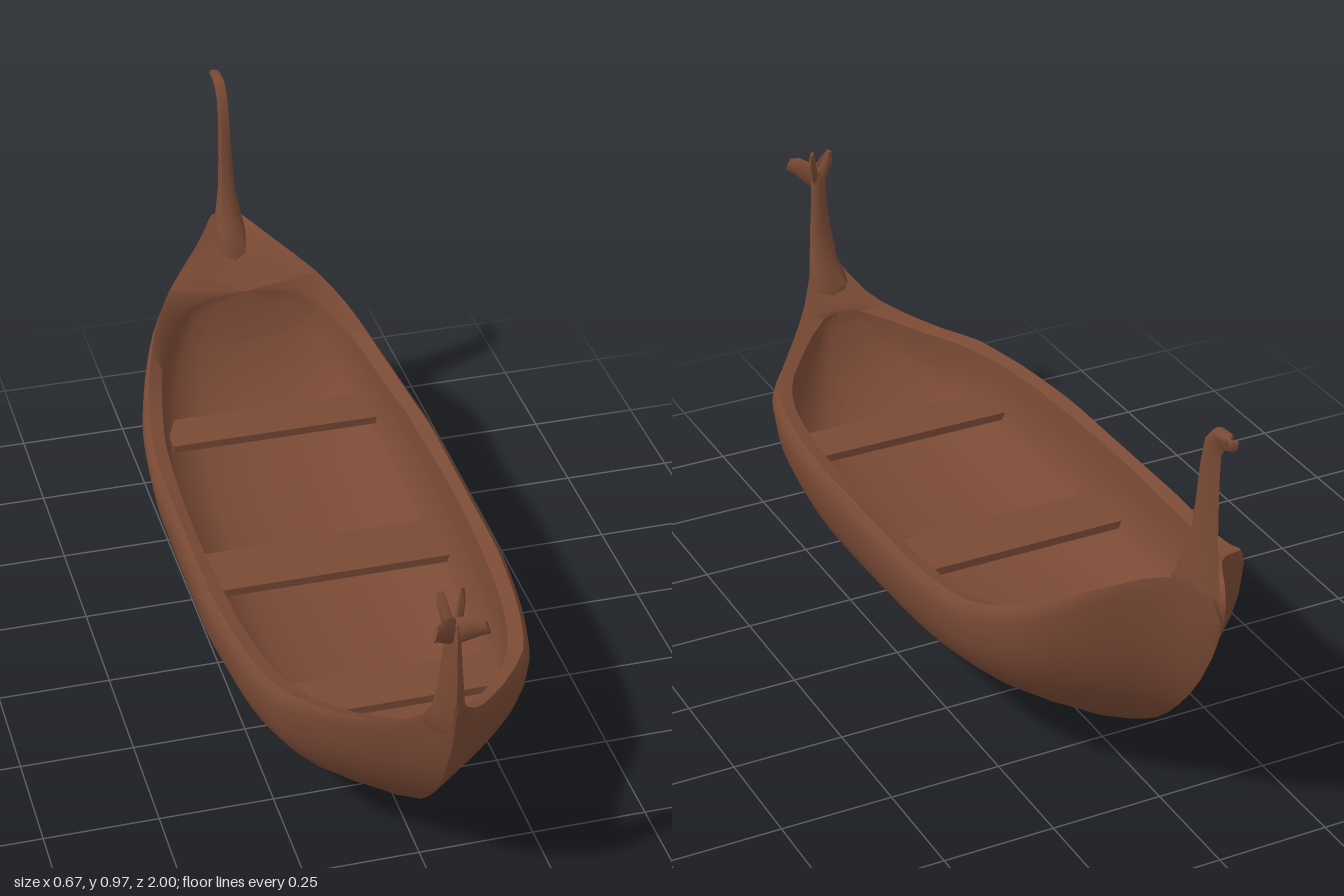
import * as THREE from 'three';
import { toCreasedNormals } from 'three/addons/utils/BufferGeometryUtils.js';

const wood = new THREE.MeshStandardMaterial({ color: 0x7a4a35, side: THREE.DoubleSide });

// Smooth monotone interpolation through [z, value] pairs
function profile(pts) {
  const slope = i => (pts[i + 1][1] - pts[i][1]) / (pts[i + 1][0] - pts[i][0]);
  const tangent = i => {
    if (i === 0) return slope(0);
    if (i === pts.length - 1) return slope(i - 1);
    const a = slope(i - 1), b = slope(i);
    return a * b <= 0 ? 0 : (2 * a * b) / (a + b);
  };
  return z => {
    if (z <= pts[0][0]) return pts[0][1];
    if (z >= pts[pts.length - 1][0]) return pts[pts.length - 1][1];
    const i = pts.findIndex((p, k) => z < pts[k + 1][0]);
    const h = pts[i + 1][0] - pts[i][0], t = (z - pts[i][0]) / h;
    const t2 = t * t, t3 = t2 * t;
    return (2 * t3 - 3 * t2 + 1) * pts[i][1] + (t3 - 2 * t2 + t) * h * tangent(i)
      + (3 * t2 - 2 * t3) * pts[i + 1][1] + (t3 - t2) * h * tangent(i + 1);
  };
}

// Skin a list of closed rings of [x, y, z] points, with fan caps
function loft(name, rings, crease) {
  const n = rings[0].length, pos = rings.flat(2), idx = [];
  for (let r = 0; r < rings.length - 1; r++) {
    for (let i = 0; i < n; i++) {
      const j = (i + 1) % n, a = r * n, b = a + n;
      idx.push(a + i, a + j, b + i, a + j, b + j, b + i);
    }
  }
  const last = (rings.length - 1) * n;
  for (let i = 1; i < n - 1; i++) idx.push(0, i + 1, i, last, last + i, last + i + 1);
  const geo = new THREE.BufferGeometry();
  geo.setAttribute('position', new THREE.Float32BufferAttribute(pos, 3));
  geo.setIndex(idx);
  const mesh = new THREE.Mesh(toCreasedNormals(geo, crease), wood);
  mesh.name = name;
  return mesh;
}

// Post from rows [outer z, outer y, inner z, inner y, half width]; the outer edge is a sharp cutwater
const postShape = [[0, 0], [0.45, 0.25], [0.85, 0.55], [1, 0.8], [0.75, 0.96], [0, 1]];
function post(name, rows) {
  return loft(name, rows.map(([z1, y1, z2, y2, w]) => {
    const half = postShape.map(([x, t]) => [x * w, y1 + (y2 - y1) * t, z1 + (z2 - z1) * t]);
    const ring = [...half, ...half.slice(1, -1).reverse().map(([x, y, z]) => [-x, y, z])];
    return z1 > z2 ? ring : ring.reverse();
  }), 1);
}

// Hull lines along z
const keel = profile([[-0.975, 0.54], [-0.95, 0.47], [-0.86, 0.32], [-0.72, 0.18], [-0.53, 0.08],
  [-0.3, 0.035], [-0.1, 0.01], [0.1, 0], [0.32, 0.01], [0.5, 0.03], [0.65, 0.08], [0.78, 0.17],
  [0.89, 0.3], [0.96, 0.45], [0.975, 0.52]]);
const gunwale = profile([[-0.975, 0.56], [-0.96, 0.6], [-0.9, 0.622], [-0.85, 0.61], [-0.78, 0.57],
  [-0.72, 0.53], [-0.63, 0.475], [-0.53, 0.425], [-0.4, 0.39], [-0.2, 0.38], [0.5, 0.377],
  [0.68, 0.386], [0.8, 0.415], [0.87, 0.455], [0.93, 0.52], [0.975, 0.55]]);
const beam = profile([[-0.975, 0.006], [-0.95, 0.02], [-0.9, 0.042], [-0.84, 0.08], [-0.78, 0.14],
  [-0.73, 0.19], [-0.65, 0.245], [-0.55, 0.285], [-0.4, 0.32], [-0.2, 0.337], [0.2, 0.337],
  [0.4, 0.322], [0.6, 0.28], [0.7, 0.213], [0.8, 0.13], [0.9, 0.05], [0.95, 0.02], [0.975, 0.006]]);
const opening = profile([[-0.735, 0], [-0.73, 0.09], [-0.715, 0.14], [-0.68, 0.185], [-0.6, 0.225],
  [-0.5, 0.253], [-0.3, 0.285], [0, 0.295], [0.3, 0.285], [0.5, 0.26], [0.62, 0.22], [0.72, 0.15],
  [0.79, 0.085], [0.82, 0.045], [0.83, 0]]);
const floor = profile([[-0.735, 0.5], [-0.73, 0.48], [-0.68, 0.37], [-0.6, 0.285], [-0.45, 0.215],
  [-0.2, 0.165], [0, 0.15], [0.3, 0.155], [0.5, 0.18], [0.65, 0.22], [0.75, 0.29], [0.8, 0.35], [0.83, 0.42]]);

// Normalised half sections: [share of width, share of height]
const outerShape = [[0, 0], [0.18, 0.055], [0.48, 0.2], [0.66, 0.31], [0.8, 0.43], [0.9, 0.55],
  [0.965, 0.69], [1, 0.89], [0.985, 0.96], [0.95, 1]];
const innerShape = [[1, 1], [0.99, 0.8], [0.96, 0.52], [0.87, 0.27], [0.6, 0.08], [0.3, 0.02], [0, 0]];

function hullRing(z) {
  const k = keel(z), g = gunwale(z), w = beam(z), o = opening(z);
  const lip = g - 0.008 - 0.022 * THREE.MathUtils.smoothstep(-z, 0.4, 0.75)
    * (1 - THREE.MathUtils.smoothstep(-z, 0.85, 0.95));
  const bottom = o > 0.001 ? Math.min(floor(z), lip) : lip;
  const v = THREE.MathUtils.smoothstep(Math.abs(z), 0.6, 0.95) * 0.5; // sharper V at the ends
  const half = outerShape.map(([x, h]) => [w * THREE.MathUtils.lerp(x, h, v), k + (g - k) * h, z]);
  innerShape.forEach(([x, h]) => half.push([o * x, bottom + (lip - bottom) * h, z]));
  const mirrored = half.slice(1, -1).reverse().map(([x, y, d]) => [-x, y, d]);
  return [...half, ...mirrored];
}

// Tapering finial arm along a path, with [across, tall] radii per point
function arm(name, path, sizes) {
  const points = path.map(p => new THREE.Vector3(...p));
  const dir = points[points.length - 1].clone().sub(points[0]).normalize();
  const across = new THREE.Vector3(dir.z, 0, -dir.x).normalize();
  const up = dir.clone().cross(across);
  return loft(name, points.map((p, i) => Array.from({ length: 8 }, (_, k) => {
    const a = k / 8 * Math.PI * 2;
    return p.clone().addScaledVector(across, Math.cos(a) * sizes[i][0])
      .addScaledVector(up, Math.sin(a) * sizes[i][1]).toArray();
  })), 1);
}

export function createModel() {
  const boat = new THREE.Group();
  boat.name = 'boat';

  // Hull shell with rim, inside and small end decks
  const stations = [-0.975, -0.96, -0.735, -0.73, -0.722, -0.715, -0.7, 0.82, 0.826, 0.83, 0.96, 0.975];
  for (let i = 0; i <= 46; i++) stations.push(-0.94 + i * 1.88 / 46);
  stations.sort((a, b) => a - b);
  boat.add(loft('hull', stations.map(hullRing), 0.8));

  // Tall curled stern post
  boat.add(post('sternPost', [
    [-0.955, 0.53, -0.8, 0.53, 0.03], [-0.972, 0.56, -0.81, 0.585, 0.035],
    [-0.965, 0.6, -0.828, 0.615, 0.036], [-0.956, 0.64, -0.847, 0.65, 0.03],
    [-0.95, 0.69, -0.864, 0.71, 0.02], [-0.946, 0.76, -0.874, 0.78, 0.016],
    [-0.945, 0.86, -0.884, 0.87, 0.013], [-0.948, 0.915, -0.9, 0.935, 0.013],
    [-0.96, 0.932, -0.93, 0.968, 0.013], [-0.978, 0.938, -0.97, 0.972, 0.012],
    [-0.99, 0.942, -0.993, 0.968, 0.011], [-0.998, 0.948, -1, 0.96, 0.006]]));

  // Prow post
  boat.add(post('prowPost', [
    [0.955, 0.45, 0.86, 0.42, 0.025], [0.966, 0.48, 0.87, 0.465, 0.05],
    [0.976, 0.53, 0.908, 0.52, 0.034], [0.977, 0.6, 0.923, 0.6, 0.025],
    [0.973, 0.68, 0.93, 0.68, 0.018], [0.974, 0.72, 0.93, 0.72, 0.018],
    [0.968, 0.742, 0.936, 0.745, 0.01]]));

  // Forked finial: two forward wings and two upright rear horns
  for (const s of [-1, 1]) {
    const side = s > 0 ? 'left' : 'right';
    boat.add(arm(side + 'FinialWing',
      [[0, 0.72, 0.952], [s * 0.02, 0.735, 0.968], [s * 0.038, 0.747, 0.983], [s * 0.053, 0.75, 0.995]],
      [[0.009, 0.028], [0.009, 0.026], [0.008, 0.022], [0.004, 0.016]]));
    boat.add(arm(side + 'FinialHorn',
      [[0, 0.7, 0.95], [s * 0.012, 0.74, 0.938], [s * 0.02, 0.775, 0.927], [s * 0.022, 0.798, 0.922]],
      [[0.009, 0.016], [0.009, 0.014], [0.008, 0.012], [0.004, 0.007]]));
  }

  // Benches: [centre z, top y, half width, depth]
  [[-0.49, 0.305, 0.243, 0.11], [-0.008, 0.245, 0.285, 0.146], [0.513, 0.265, 0.25, 0.115]]
    .forEach(([z, y, w, d], i) => {
      const bench = new THREE.Mesh(new THREE.BoxGeometry(w * 2, 0.018, d), wood);
      bench.position.set(0, y - 0.009, z);
      bench.name = ['sternBench', 'middleBench', 'prowBench'][i];
      boat.add(bench);
    });
  return boat;
}
